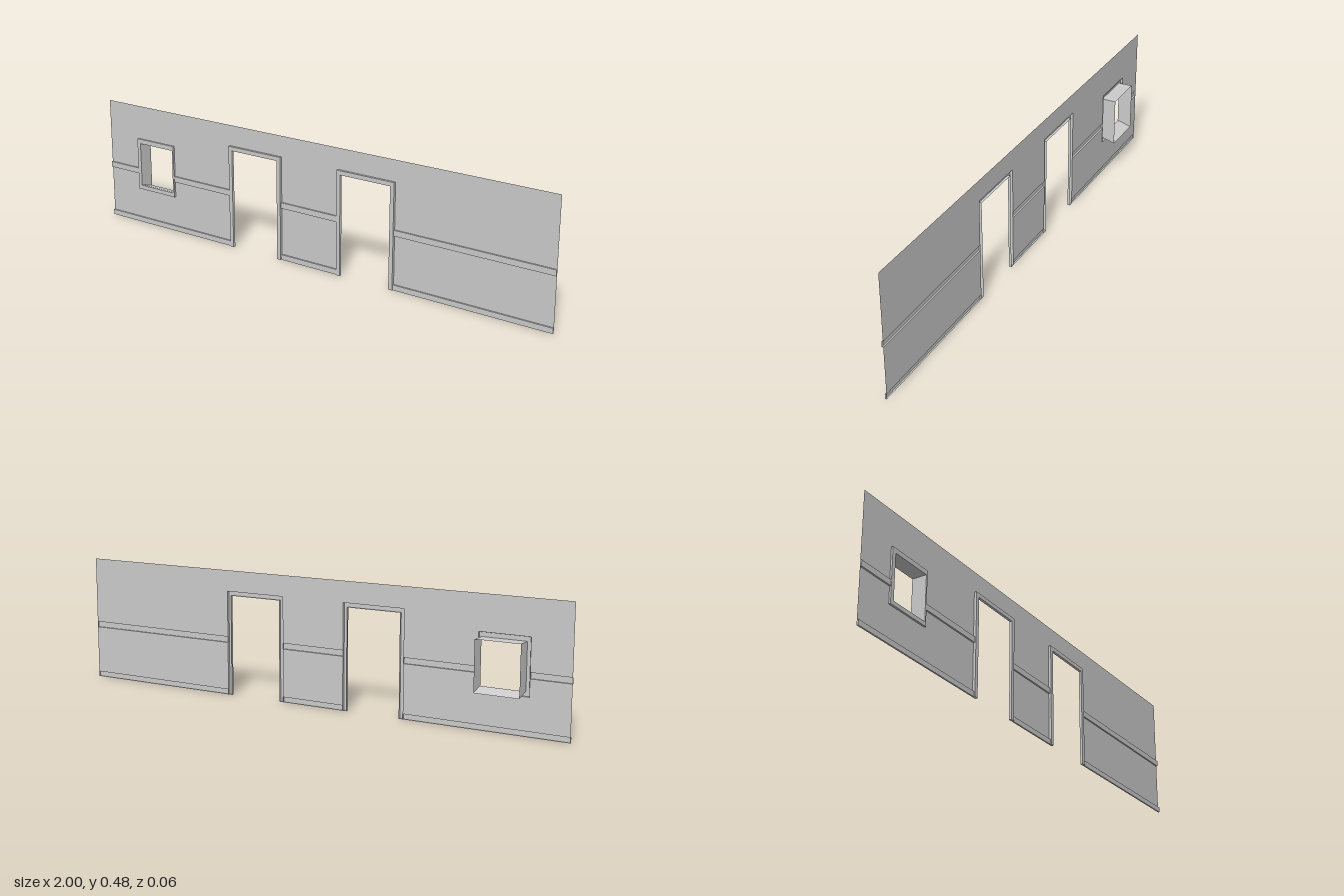
import * as THREE from 'three';

const WALL_Z = 0.02;
const material = new THREE.MeshStandardMaterial({ color: 0xcccccc, flatShading: true, side: THREE.DoubleSide });

const rect = (x0, x1, y0, y1) => [[x0, y0], [x1, y0], [x1, y1], [x0, y1]];
const toVectors = (pts) => pts.map(([x, y]) => new THREE.Vector2(x, y));

// Flat panel in the xy plane, with an optional hole
function panel(name, pts, z, hole) {
  const shape = new THREE.Shape(toVectors(pts));
  if (hole) shape.holes.push(new THREE.Path(toVectors(hole)));
  const mesh = new THREE.Mesh(new THREE.ShapeGeometry(shape), material);
  mesh.position.z = z;
  mesh.name = name;
  return mesh;
}

// Open band of quads joining two loops at different depths
function band(name, back, zBack, front, zFront) {
  const pos = [];
  back.forEach((b, i) => {
    const j = (i + 1) % back.length;
    const a0 = [...b, zBack], a1 = [...back[j], zBack];
    const c0 = [...front[i], zFront], c1 = [...front[j], zFront];
    pos.push(...a0, ...a1, ...c1, ...a0, ...c1, ...c0);
  });
  const geo = new THREE.BufferGeometry();
  geo.setAttribute('position', new THREE.Float32BufferAttribute(pos, 3));
  geo.computeVertexNormals();
  const mesh = new THREE.Mesh(geo, material);
  mesh.name = name;
  return mesh;
}

// Hollow moulding: raised face and side walls, open at the back
function moulding(name, pts, zBack, zFront, hole) {
  const group = new THREE.Group();
  group.name = name;
  group.add(panel(name + 'Face', pts, zFront, hole), band(name + 'Sides', pts, zBack, pts, zFront));
  return group;
}

export function createModel() {
  const model = new THREE.Group();
  model.name = 'wallSection';

  const doors = [[-0.375, -0.13], [0.125, 0.37]];
  const doorTop = 0.4, trim = 0.016;
  const win = { x0: -0.85, x1: -0.66, y0: 0.14, y1: 0.347 };
  const railLow = 0.203, railHigh = 0.225, baseTop = 0.02;

  // Upper wall, notched around the window and both doors
  const upper = [[-1, 0.48], [-1, railHigh]];
  for (const [x0, x1, top] of [[win.x0, win.x1, win.y1], ...doors.map((d) => [...d, doorTop])]) {
    upper.push([x0, railHigh], [x0, top], [x1, top], [x1, railHigh]);
  }
  upper.push([1, railHigh], [1, 0.48]);
  model.add(panel('upperWall', upper, WALL_Z));

  // Lower wall panels and baseboards between the doors
  const spans = [[-1, doors[0][0]], [doors[0][1], doors[1][0]], [doors[1][1], 1]];
  spans.forEach(([x0, x1], i) => {
    const pts = [[x0, baseTop], [x1, baseTop], [x1, railLow]];
    if (i === 0) pts.push([win.x1, railLow], [win.x1, win.y0], [win.x0, win.y0], [win.x0, railLow]);
    pts.push([x0, railLow]);
    model.add(panel('lowerWall', pts, WALL_Z));
    model.add(moulding('baseboard', rect(x0, x1, 0, baseTop), WALL_Z, 0.026));
  });

  // Chair rail, broken at the window and doors
  for (const [x0, x1] of [[-1, win.x0], [win.x1, spans[0][1]], spans[1], spans[2]]) {
    model.add(moulding('chairRail', rect(x0, x1, railLow, railHigh), WALL_Z, 0.026));
  }

  // Door frames
  for (const [x0, x1] of doors) {
    const a = x0 + trim, b = x1 - trim, h = doorTop - trim;
    const pts = [[x0, 0], [a, 0], [a, h], [b, h], [b, 0], [x1, 0], [x1, doorTop], [x0, doorTop]];
    model.add(moulding('doorFrame', pts, WALL_Z, 0.03));
  }

  // Window frame with a deep reveal and sloping sill
  const opening = rect(-0.834, -0.667, 0.156, 0.329);
  const revealBack = rect(-0.834, -0.667, 0.142, 0.329);
  model.add(moulding('windowFrame', rect(win.x0, win.x1, win.y0, win.y1), 0.018, 0.027, opening));
  model.add(band('windowOpeningEdge', opening, 0.018, opening, 0.027));
  model.add(band('windowReveal', revealBack, -0.03, opening, 0.018));

  return model;
}
